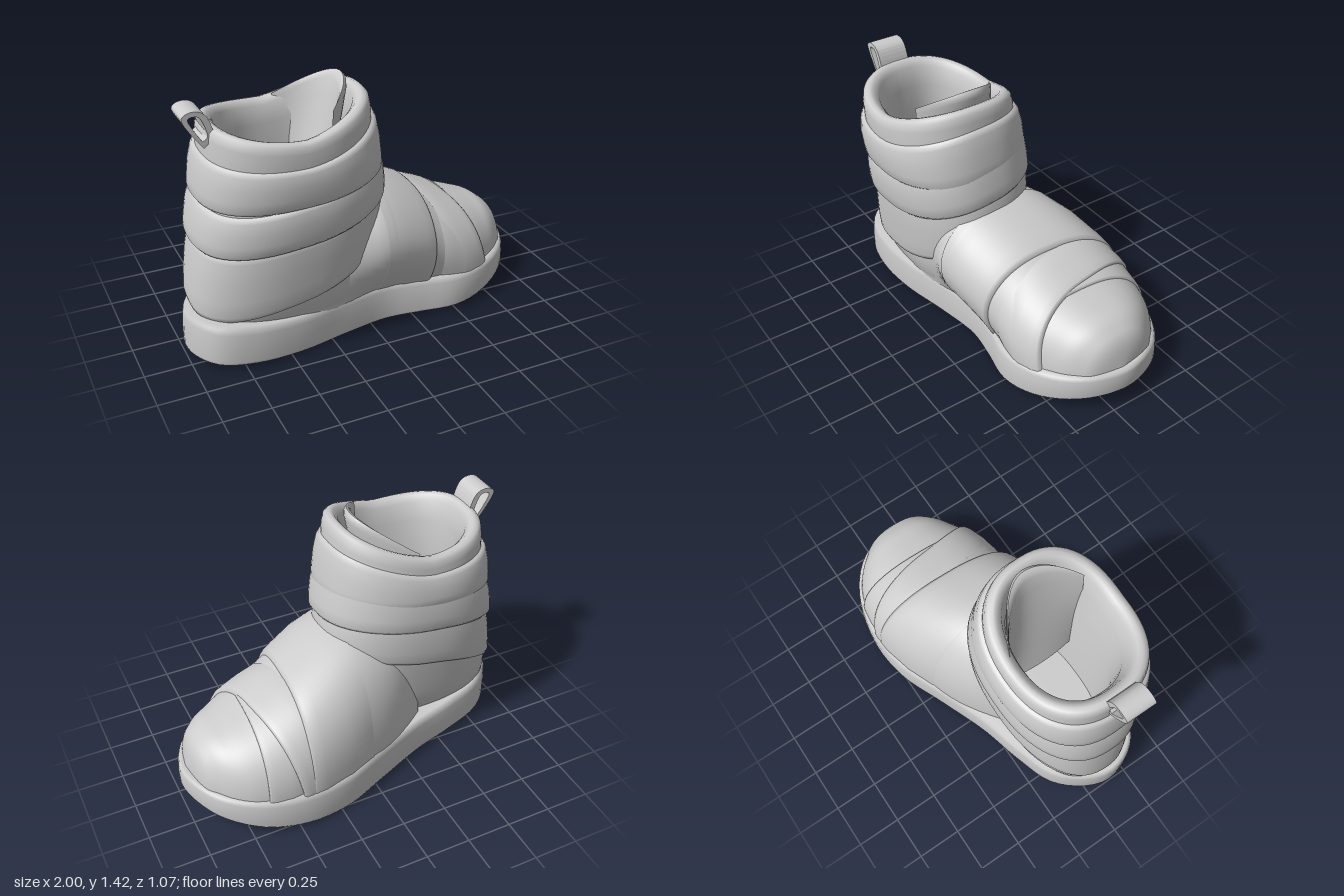
import * as THREE from 'three';

const material = new THREE.MeshStandardMaterial({ color: 0xcccccc, side: THREE.DoubleSide });
material.name = 'light grey';
const { lerp, smoothstep, clamp } = THREE.MathUtils;

// Smooth table lookup: each entry is [key, ...values]
function table(entries) {
  const f = new THREE.CubicInterpolant(entries.map(e => e[0]), entries.flatMap(e => e.slice(1)), entries[0].length - 1);
  return t => Array.from(f.evaluate(clamp(t, entries[0][0], entries[entries.length - 1][0])));
}

// Skin over rows of points, optionally closed around
function loft(name, rows, closed) {
  const n = rows[0].length, index = [];
  for (let i = 0; i < rows.length - 1; i++) {
    for (let j = 0; j < (closed ? n : n - 1); j++) {
      const k = (j + 1) % n, a = i * n + j, b = i * n + k;
      index.push(a, a + n, b, b, a + n, b + n);
    }
  }
  const geo = new THREE.BufferGeometry();
  geo.setAttribute('position', new THREE.Float32BufferAttribute(rows.flat(2), 3));
  geo.setIndex(index);
  geo.computeVertexNormals();
  return named(name, geo);
}

function named(name, geo) {
  const mesh = new THREE.Mesh(geo, material);
  mesh.name = name;
  return mesh;
}

const steps = (n, fn) => Array.from({ length: n + 1 }, (_, i) => fn(i / n));
const around = fn => Array.from({ length: 64 }, (_, i) => fn(i / 64 * Math.PI * 2));
const power = (v, p) => Math.sign(v) * Math.abs(v) ** p;

// Sole
const outline = new THREE.CatmullRomCurve3([
  [1, -.07], [.94, .12], [.82, .25], [.66, .33], [.5, .355], [.3, .315], [.1, .29], [-.15, .33], [-.45, .4],
  [-.7, .415], [-.88, .37], [-.97, .26], [-1, .13], [-.95, -.01], [-.82, -.15], [-.6, -.23], [-.35, -.295],
  [-.05, -.41], [.2, -.51], [.45, -.54], [.7, -.49], [.88, -.37], [.97, -.22],
].map(([x, z]) => new THREE.Vector3(x, 0, z)), true).getSpacedPoints(96).slice(0, 96);
const soleAt = table([ // x, bottom, top, middle z
  [-1, .04, .27, .13], [-.5, .015, .225, .08], [0, 0, .215, -.06], [.4, .008, .215, -.09], [.65, .035, .22, -.08], [1, .12, .25, -.07]]);
function soleRow([t, inset]) {
  return outline.map(p => {
    const x = p.x * (1 - inset * .3), [bottom, top, mid] = soleAt(x);
    return [x, lerp(bottom, top, t), lerp(p.z, mid, inset)];
  });
}

// Ankle shaft: y, back x, front x, right z, left z
const shaftAt = table([
  [.15, -.94, -.02, -.15, .34], [.28, -.945, .05, -.205, .395], [.45, -.93, .08, -.23, .415], [.65, -.905, .08, -.245, .44],
  [.9, -.872, .06, -.24, .475], [1.1, -.855, .02, -.225, .5], [1.27, -.85, 0, -.21, .505]]);
function shaftPoint(y, a, off) {
  const [x0, x1, z0, z1] = shaftAt(y), c = power(Math.cos(a), .85), s = power(Math.sin(a), .85);
  const lift = (c > 0 ? .13 * c ** 1.25 : .05 * c * c) - .02;
  return [(x0 + x1) / 2 + ((x1 - x0) / 2 + off) * c, y + lift * smoothstep(y, .95, 1.25),
    (z0 + z1) / 2 + ((z1 - z0) / 2 + off) * s];
}

// Slanted wrap around the shaft, highest at the front right
function wrap(name, loBack, loFront, hiBack, hiFront, bulge) {
  const profile = [[0, -.03], [0, .6], [.08, 1], [.3, 1.05], [.6, 1], [.88, .7], [.98, .35], [1, -.5]];
  return loft(name, profile.map(([t, o]) => around(a => {
    const f = (1 + Math.cos(a + .7)) / 2;
    return shaftPoint(lerp(lerp(loBack, loFront, f), lerp(hiBack, hiFront, f), t), a, o * bulge);
  })), true);
}

// Foot: x, top, right z, left z, pinch under the arch
const footAt = table([
  [-.38, .6, -.21, .37, 0], [-.25, .74, -.3, .4, .06], [-.1, .79, -.375, .46, .17], [.05, .8, -.425, .52, .28],
  [.2, .735, -.475, .48, .25], [.4, .635, -.505, .395, .11], [.6, .54, -.49, .335, .02], [.75, .49, -.44, .255, 0],
  [.87, .44, -.34, .17, 0], [.94, .35, -.23, .07, 0], [.965, .24, -.1, -.04, 0]]);
function footPoint(x, a, off) {
  const [top, z0, z1, pinch] = footAt(x), c = Math.cos(a), s = Math.max(0, Math.sin(a));
  const z = (z0 + z1) / 2 + ((z1 - z0) / 2 + off) * power(c, .82) - (c > 0 ? pinch * (1 - s) ** 3 : 0);
  return clearOpening([x, .15 + (top + off - .15) * s ** .85, z]);
}

// Push points out of the shaft's hollow into its wall
function clearOpening([x, y, z]) {
  const [x0, x1, z0, z1] = shaftAt(y), cx = (x0 + x1) / 2, cz = (z0 + z1) / 2;
  const r = Math.hypot((x - cx) / (x1 - cx), (z - cz) / (z1 - cz));
  const k = Math.max(1, .88 / r);
  return [cx + (x - cx) * k, y, cz + (z - cz) * k];
}

// Strap across the foot; edges are given at the left and right ends
function strap(name, backL, backR, frontL, frontR, bulge) {
  const profile = [[0, -.5], [.02, .2], [.4, .7], [.8, 1], [.95, 1], [1, .7], [1, -.6]];
  return loft(name, profile.map(([t, o]) => steps(40, u =>
    footPoint(lerp(lerp(backL, backR, u), lerp(frontL, frontR, u), t), u * Math.PI, o * bulge))), false);
}

export function createModel() {
  const model = new THREE.Group();
  model.name = 'boot';

  model.add(
    loft('soleBottom', [[0, 1], [0, .02]].map(soleRow), true),
    loft('soleWall', [[0, .02], [.08, 0], [.5, 0], [.8, .012], [.93, .03], [1, .08], [1, .4]].map(soleRow), true),
    loft('foot', steps(40, u => -.38 + 1.345 * Math.sin(u * Math.PI / 2)).map(x =>
      steps(48, u => footPoint(x, u * Math.PI, 0))), false),
  );

  // Shaft with padded rim and lining
  const shell = [...steps(14, u => [lerp(.15, 1.2, u), 0]), [1.235, -.006], [1.25, -.02], [1.256, -.04],
    [1.248, -.06], [1.22, -.085], [1.12, -.115], [.9, -.13], [.6, -.13], [.35, -.13]];
  model.add(loft('shaft', shell.map(([y, off]) => around(a => shaftPoint(y, a, off))), true));
  const insole = named('insole', new THREE.CircleGeometry(1, 48).rotateX(-Math.PI / 2).scale(.42, 1, .23));
  insole.position.set(-.43, .37, .09);
  model.add(insole);

  model.add(
    wrap('lowerWrap', .25, .67, .64, .92, .022),
    wrap('upperWrap', .88, 1.0, 1.11, 1.18, .036),
    wrap('middleWrap', .63, .87, .86, 1.14, .038),
    strap('instepStrap', .04, .0, .35, .42, .02),
    strap('toeStrap', .42, .45, .6, .65, .012),
    strap('diagonalStrap', .52, .25, .74, .46, .02),
  );

  // Tongue: crescent section leaning forward
  const tongueRow = ([v, thick]) => {
    const arc = (t, d) => [lerp(-.3, -.1, v) - t * t * (t < 0 ? .27 : .15) * v + d * thick * (1 - t * t),
      .6 + (.82 - (t < 0 ? .17 : .1) * t * t) * v, .11 + .26 * t];
    return [...steps(16, u => arc(1 - 2 * u, -.5)), ...steps(16, u => arc(2 * u - 1, .5))];
  };
  model.add(loft('tongue', [[0, .06], [.3, .06], [.6, .06], [.85, .06], [.95, .055], [.985, .035], [1, 0]].map(tongueRow), true));

  // Heel pull loop
  const loopPoints = pts => new THREE.SplineCurve(pts.map(p => new THREE.Vector2(...p))).getPoints(32);
  const loop = new THREE.Shape(loopPoints([[-.86, 1.19], [-.92, 1.27], [-.96, 1.35], [-.91, 1.38], [-.845, 1.355], [-.81, 1.25], [-.86, 1.19]]));
  loop.holes.push(new THREE.Path(loopPoints([[-.865, 1.225], [-.9, 1.28], [-.93, 1.34], [-.905, 1.355], [-.87, 1.34], [-.84, 1.255], [-.865, 1.225]])));
  const loopGeo = new THREE.ExtrudeGeometry(loop, { depth: .17, bevelEnabled: false });
  loopGeo.translate(0, 0, .09);
  model.add(named('pullLoop', loopGeo));

  return model;
}
